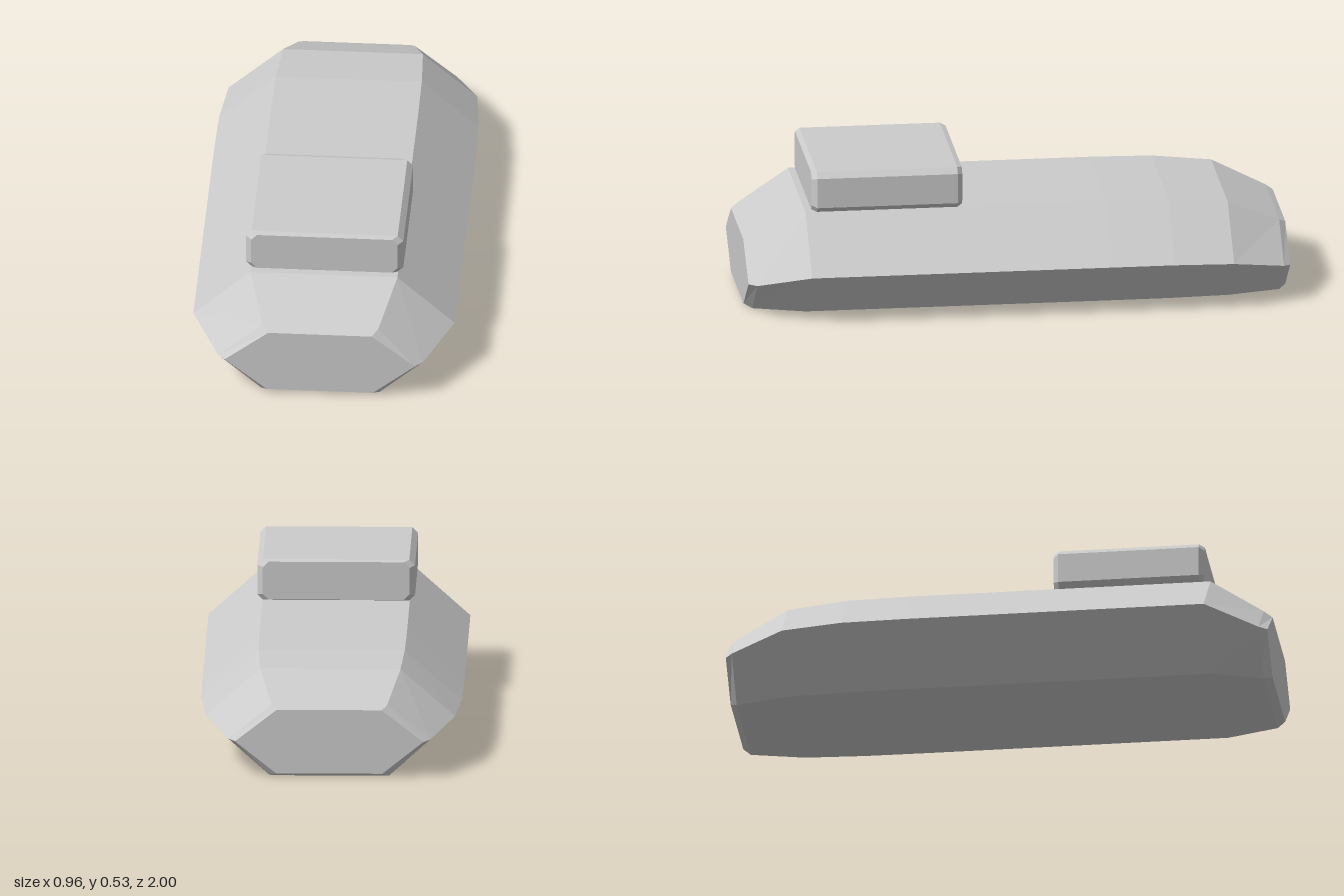
import * as THREE from 'three';

// Mirror a right-hand half outline (bottom to top) into a closed ring at depth z
const ring = (z, half) => [
  ...half,
  ...half.slice().reverse().map(([x, y]) => [-x, y]),
].map(([x, y]) => [x, y, z]);

// Skin rings ordered from front to back, with flat end caps
function loft(rings) {
  const pos = [];
  const tri = (a, b, c) => pos.push(...a, ...b, ...c);
  const n = rings[0].length;
  for (let i = 0; i < rings.length - 1; i++) {
    for (let k = 0; k < n; k++) {
      const m = (k + 1) % n, f = rings[i], r = rings[i + 1];
      tri(f[k], r[k], r[m]);
      tri(f[k], r[m], f[m]);
    }
  }
  const front = rings[0], back = rings[rings.length - 1];
  for (let k = 1; k < n - 1; k++) {
    tri(front[0], front[k], front[k + 1]);
    tri(back[0], back[k + 1], back[k]);
  }
  const g = new THREE.BufferGeometry();
  g.setAttribute('position', new THREE.Float32BufferAttribute(pos, 3));
  g.computeVertexNormals();
  return g;
}

export function createModel() {
  const group = new THREE.Group();
  const material = new THREE.MeshStandardMaterial({ color: 0xcccccc, flatShading: true });
  const add = (name, rings) => {
    const mesh = new THREE.Mesh(loft(rings), material);
    mesh.name = name;
    group.add(mesh);
  };

  // Six-sided hull: z, then half-width and height of bottom, side and top edges
  const hull = [
    [1, 0.195, 0.013, 0.35, 0.135, 0.19, 0.257],
    [0.97, 0.218, 0, 0.376, 0.135, 0.213, 0.273],
    [0.78, 0.28, 0, 0.48, 0.19, 0.27, 0.378],
    [-0.33, 0.28, 0, 0.48, 0.19, 0.27, 0.378],
    [-0.56, 0.278, 0, 0.477, 0.189, 0.268, 0.375],
    [-0.78, 0.266, 0, 0.457, 0.179, 0.257, 0.355],
    [-0.975, 0.218, 0, 0.37, 0.137, 0.212, 0.266],
    [-1, 0.195, 0.013, 0.345, 0.133, 0.192, 0.252],
  ];
  add('hull', hull.map(([z, bx, by, mx, my, tx, ty]) =>
    ring(z, [[bx, by], [mx, my], [tx, ty]])));

  // Cabin block with chamfered edges
  const octagon = (z, w, y0, y1, c = 0.021) =>
    ring(z, [[w - c, y0], [w, y0 + c], [w, y1 - c], [w - c, y1]]);
  add('cabin', [
    octagon(0.757, 0.269, 0.383, 0.525),
    octagon(0.738, 0.289, 0.377, 0.531),
    octagon(0.22, 0.289, 0.377, 0.531),
    octagon(0.201, 0.269, 0.383, 0.525),
  ]);

  return group;
}
